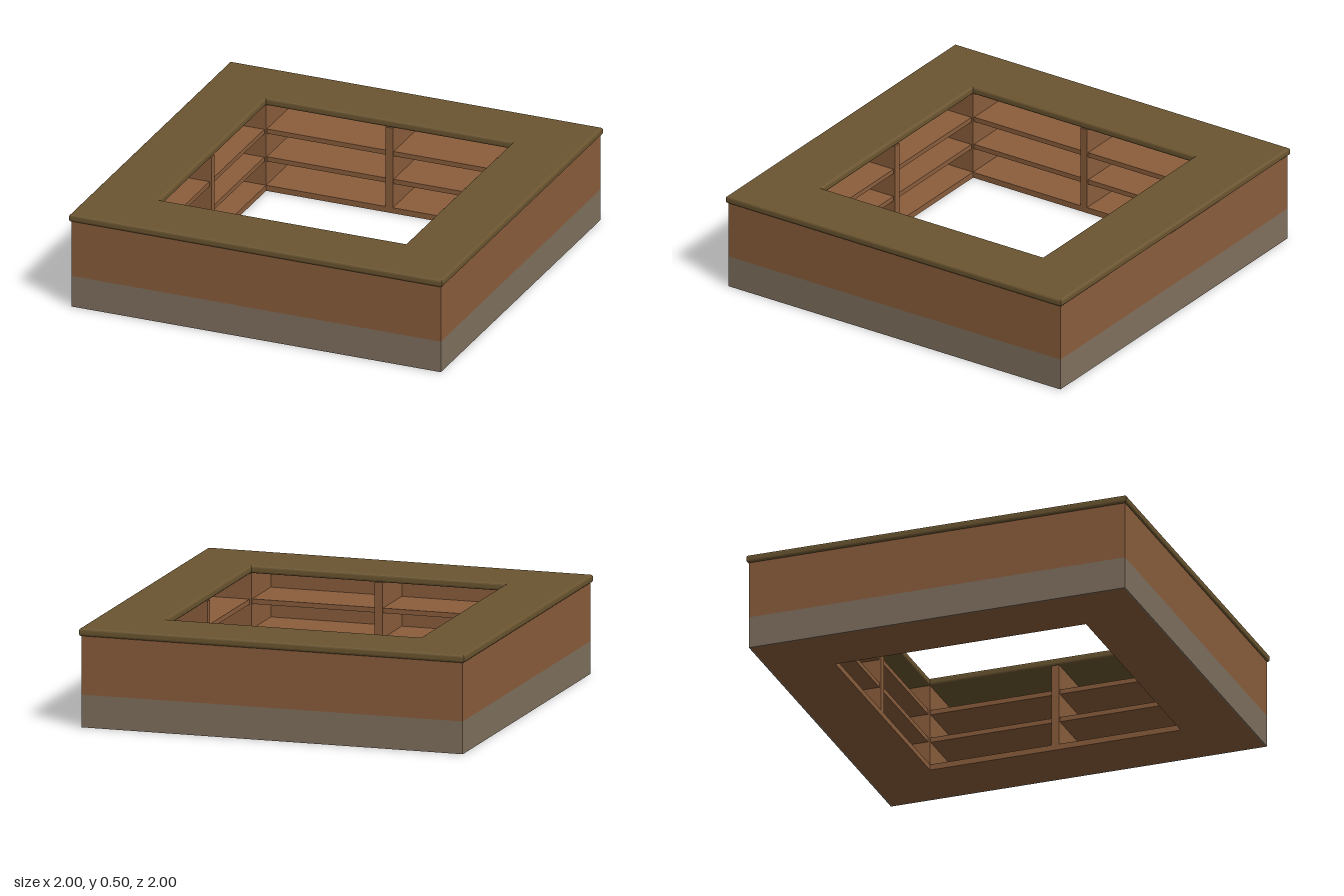
import * as THREE from 'three';

const brown = new THREE.MeshStandardMaterial({ color: 0x8b5e3c });
brown.name = 'brown wood';
const stone = new THREE.MeshStandardMaterial({ color: 0x80715f });
stone.name = 'grey base';
const olive = new THREE.MeshStandardMaterial({ color: 0x6b5530 });
olive.name = 'olive worktop';

const INNER = 0.66, OUTER = 0.99, TOP = 0.46;

function square(path, h) {
  path.moveTo(-h, -h);
  path.lineTo(h, -h);
  path.lineTo(h, h);
  path.lineTo(-h, h);
  path.closePath();
  return path;
}

// Square ring between two half-widths and two heights, with optional rounded edges
function ring(name, inner, outer, y0, y1, material, bevel = 0) {
  const shape = square(new THREE.Shape(), outer - bevel);
  shape.holes.push(square(new THREE.Path(), inner + bevel));
  const geometry = new THREE.ExtrudeGeometry(shape, {
    depth: y1 - y0 - 2 * bevel, bevelEnabled: bevel > 0,
    bevelSize: bevel, bevelThickness: bevel, bevelSegments: 3,
  });
  geometry.rotateX(-Math.PI / 2);
  geometry.translate(0, y0 + bevel, 0);
  const mesh = new THREE.Mesh(geometry, material);
  mesh.name = name;
  return mesh;
}

function box(name, w, h, d, x, y, z) {
  const mesh = new THREE.Mesh(new THREE.BoxGeometry(w, h, d), brown);
  mesh.position.set(x, y, z);
  mesh.name = name;
  return mesh;
}

export function createModel() {
  const model = new THREE.Group();
  model.name = 'squareCounter';

  // Worktop and outer walls
  model.add(ring('worktop', INNER, 1, TOP, 0.5, olive, 0.012));
  model.add(ring('upperWall', 0.96, OUTER, 0.165, TOP, brown));
  model.add(ring('lowerWall', 0.96, 0.982, 0, 0.165, brown));
  model.add(ring('baseBand', 0.982, OUTER, 0, 0.165, stone));

  // Floor and open shelves facing the middle
  model.add(ring('floor', INNER, 0.982, 0, 0.03, brown));
  for (const y of [0.155, 0.305]) {
    model.add(ring('shelf', INNER + 0.01, 0.965, y, y + 0.025, brown));
  }

  // Upright dividers: one in the middle of each side, two closing each corner
  const h = TOP - 0.03, y = 0.03 + h / 2, depth = 0.965 - INNER, mid = INNER + depth / 2;
  for (let i = 0; i < 4; i++) {
    const side = new THREE.Group();
    side.name = 'shelfSide';
    side.rotation.y = i * Math.PI / 2;
    side.add(box('middleDivider', 0.04, h, depth, 0, y, mid));
    for (const s of [-1, 1]) {
      side.add(box('cornerDivider', 0.03, h, depth, s * (INNER + 0.015), y, mid));
    }
    model.add(side);
  }
  return model;
}
